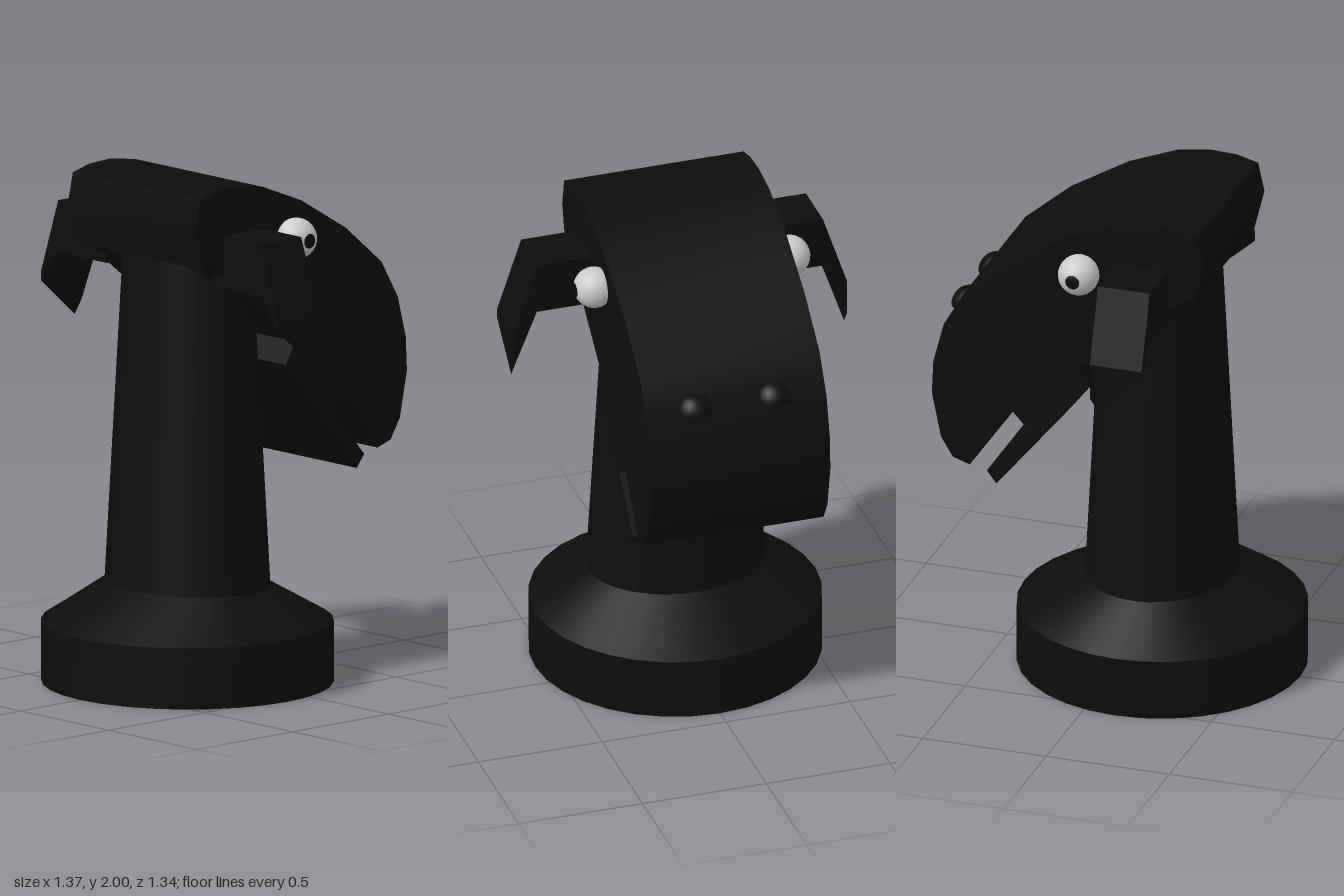
import * as THREE from 'three';
import { toCreasedNormals } from 'three/addons/utils/BufferGeometryUtils.js';

const black = new THREE.MeshStandardMaterial({ color: 0x0c0c0c });
const grey = new THREE.MeshStandardMaterial({ color: 0xcccccc });
const green = new THREE.MeshStandardMaterial({ color: 0x55b560 });
const AXIS = -0.13; // x of the base and neck axis

function add(parent, name, geometry, material, x = 0, y = 0, z = 0) {
  const mesh = new THREE.Mesh(geometry, material);
  mesh.name = name;
  mesh.position.set(x, y, z);
  parent.add(mesh);
  return mesh;
}

function extrude(points, depth, steps = 1) {
  const shape = new THREE.Shape(points.map(([x, y]) => new THREE.Vector2(x, y)));
  return new THREE.ExtrudeGeometry(shape, { depth, steps, bevelEnabled: false });
}

// Side walls through elliptical rings [rx, y, rz]
function ellipticalWall(rings) {
  const geo = new THREE.CylinderGeometry(1, 1, 1, 32, rings.length - 1, true);
  const p = geo.attributes.position;
  for (let i = 0; i < p.count; i++) {
    const ring = rings[Math.round((0.5 - p.getY(i)) * (rings.length - 1))];
    p.setXYZ(i, p.getX(i) * ring[0], ring[1], p.getZ(i) * ring[2]);
  }
  return toCreasedNormals(geo, 0.4);
}

// Folded ear: a short bar out from the head, then a hanging flap with a slanted tip
function earGeometry() {
  const geo = extrude([
    [0.3, 1.61], [0.58, 1.61], [0.672, 1.33], [0.672, 1.525], [0.575, 1.815], [0.3, 1.815],
  ], 0.21, 6);
  const p = geo.attributes.position;
  for (let i = 0; i < p.count; i++) {
    const out = p.getX(i), x = -0.065 - p.getZ(i);
    let y = p.getY(i);
    if (y < 1.4) y += x < -0.1 ? (-0.1 - x) * 0.89 : (x + 0.1) * 1.5;
    p.setXYZ(i, x, y, out);
  }
  return toCreasedNormals(geo, 0.3);
}

export function createModel() {
  const model = new THREE.Group();
  model.name = 'horseHeadPiece';

  // Round foot with a sloping shoulder, tapering oval neck, felt underside
  add(model, 'base', ellipticalWall([
    [0.29, 0.39, 0.35], [0.56, 0.24, 0.565], [0.56, 0, 0.565],
  ]), black, AXIS);
  add(model, 'neck', ellipticalWall([
    [0.222, 1.75, 0.27], [0.29, 0.39, 0.35],
  ]), black, AXIS);
  const felt = add(model, 'feltPad', new THREE.CircleGeometry(0.56, 32), green, AXIS);
  felt.rotation.x = Math.PI / 2;

  // Head with open mouth, one profile pulled across the full width
  const profile = [
    [-0.38, 1.697], [-0.35, 1.71], [0.035, 1.395], [0.1, 1.35], [0.05, 1.265],
    [0.114, 1.183], [0.42, 0.81], [0.459, 0.86], [0.29, 1.056], [0.353, 1.125],
    [0.528, 0.875], [0.597, 0.897], [0.645, 0.976], [0.682, 1.156], [0.676, 1.29],
    [0.634, 1.453], [0.55, 1.6], [0.363, 1.76], [0.13, 1.9], [-0.07, 1.98],
    [-0.2, 2], [-0.31, 1.995], [-0.395, 1.973], [-0.42, 1.857],
  ];
  const head = extrude(profile, 0.724).translate(0, 0, -0.362);
  add(model, 'head', toCreasedNormals(head, 0.6), black);

  // Paired features
  const earShape = earGeometry();
  for (const [side, s] of [['near', 1], ['far', -1]]) {
    const ear = add(model, side + 'Ear', earShape, black);
    ear.scale.z = s;
    add(model, side + 'Eye', new THREE.SphereGeometry(0.08, 24, 16), grey, 0.075, 1.763, s * 0.395);

    // Pupil: a small cap lying on the eyeball
    const pupil = add(model, side + 'Pupil',
      new THREE.SphereGeometry(0.0812, 20, 4, 0, Math.PI * 2, 0, 0.36), black, 0.075, 1.763, s * 0.395);
    pupil.rotation.x = s * Math.PI / 2;

    // Nostril: half dome with a flat underside
    const nostril = new THREE.Group();
    nostril.name = side + 'Nostril';
    nostril.position.set(0.593, 1.456, s * 0.16);
    model.add(nostril);
    add(nostril, 'nostrilDome',
      new THREE.SphereGeometry(0.075, 20, 8, 0, Math.PI * 2, 0, Math.PI / 2), black);
    add(nostril, 'nostrilUnderside', new THREE.CircleGeometry(0.075, 20), black).rotation.x = Math.PI / 2;
  }
  return model;
}
